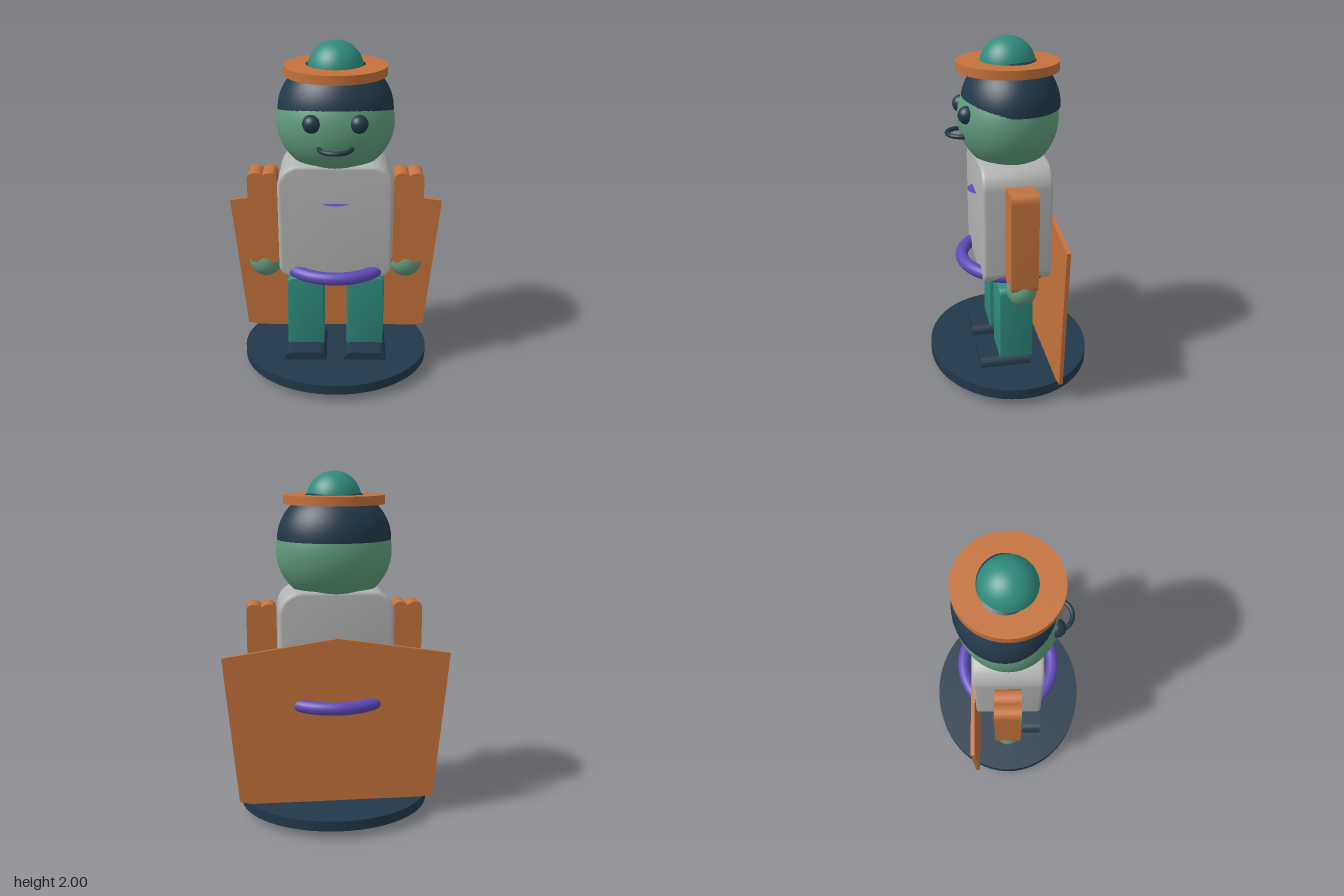
import * as THREE from 'three';
import { toCreasedNormals } from 'three/addons/utils/BufferGeometryUtils.js';

const material = (name, color, side = THREE.FrontSide) => {
  const m = new THREE.MeshStandardMaterial({ color, side });
  m.name = name;
  return m;
};

// Rounded rectangle centred on x, with separate bottom and top corner radii
function roundedRect(x, w, y0, y1, rBottom, rTop) {
  const a = x - w / 2, b = x + w / 2;
  const s = new THREE.Shape();
  s.moveTo(a + rBottom, y0);
  s.lineTo(b - rBottom, y0);
  s.absarc(b - rBottom, y0 + rBottom, rBottom, -Math.PI / 2, 0);
  s.lineTo(b, y1 - rTop);
  s.absarc(b - rTop, y1 - rTop, rTop, 0, Math.PI / 2);
  s.lineTo(a + rTop, y1);
  s.absarc(a + rTop, y1 - rTop, rTop, Math.PI / 2, Math.PI);
  s.lineTo(a, y0 + rBottom);
  s.absarc(a + rBottom, y0 + rBottom, rBottom, Math.PI, Math.PI * 1.5);
  return s;
}

// Sleeve outline whose top is two soft lobes with a notch between them
function sleeveShape(x) {
  const h = 0.085, y0 = 0.7, y1 = 1.265, notch = 1.245;
  const s = new THREE.Shape();
  s.moveTo(x - h + 0.03, y0);
  s.lineTo(x + h - 0.03, y0);
  s.quadraticCurveTo(x + h, y0, x + h, y0 + 0.03);
  s.lineTo(x + h, y1 - 0.05);
  s.quadraticCurveTo(x + h, y1, x + 0.045, y1);
  s.quadraticCurveTo(x + 0.015, y1, x, notch);
  s.quadraticCurveTo(x - 0.015, y1, x - 0.045, y1);
  s.quadraticCurveTo(x - h, y1, x - h, y1 - 0.05);
  s.lineTo(x - h, y0 + 0.03);
  s.quadraticCurveTo(x - h, y0, x - h + 0.03, y0);
  return s;
}

// Extrude a front outline from z0 to z1, with an optional soft edge
function slab(shape, z0, z1, bevel = 0) {
  const g = new THREE.ExtrudeGeometry(shape, {
    depth: z1 - z0 - 2 * bevel, curveSegments: 12, bevelEnabled: bevel > 0,
    bevelSize: bevel, bevelThickness: bevel, bevelOffset: -bevel, bevelSegments: 3,
  });
  g.translate(0, 0, z0 + bevel);
  return toCreasedNormals(g, 0.6);
}

export function createModel() {
  const model = new THREE.Group();
  model.name = 'figurine';
  const skin = material('green skin', 0x5f9b7b);
  const navy = material('navy', 0x22384a);
  const orange = material('orange', 0xc4723c);
  const teal = material('teal', 0x2e8b7d);
  const grey = material('light grey', 0xb1b4b2);
  const purple = material('purple', 0x5f4ab6);
  const purpleSheet = purple.clone();
  purpleSheet.side = THREE.DoubleSide;

  const add = (name, geometry, mat, x = 0, y = 0, z = 0) => {
    const mesh = new THREE.Mesh(geometry, mat);
    mesh.name = name;
    mesh.position.set(x, y, z);
    model.add(mesh);
    return mesh;
  };
  const ball = (rx, ry, rz) => new THREE.SphereGeometry(1, 48, 32).scale(rx, ry, rz);

  // Oval stand and back panel
  add('stand', new THREE.CylinderGeometry(1, 1, 0.06, 72).scale(0.563, 1, 0.48), navy, 0, 0.08);
  const cape = new THREE.Shape([
    [0, 0], [0.57, 0.125], [0.648, 0.99], [0, 1.088], [-0.648, 0.99], [-0.57, 0.125],
  ].map(([x, y]) => new THREE.Vector2(x, y)));
  add('cape', slab(cape, -0.212, -0.19), orange);

  // Torso, belt and the flat chest badge
  add('torso', slab(roundedRect(0, 0.65, 0.665, 1.35, 0.07, 0.13), -0.195, 0.195, 0.02), grey);
  add('belt', new THREE.TorusGeometry(0.275, 0.037, 20, 72).rotateX(Math.PI / 2).scale(1.09, 1, 1),
    purple, 0, 0.698);
  add('chestBadge', new THREE.CircleGeometry(0.1, 40).rotateX(-Math.PI / 2), purpleSheet, 0, 1.13, 0.135);

  // Mirrored limbs and eyes
  for (const side of [1, -1]) {
    const label = side > 0 ? 'left' : 'right';
    add(label + 'Leg', slab(roundedRect(side * 0.18, 0.222, 0.138, 0.61, 0.03, 0.04), -0.095, 0.1, 0.006), teal);
    add(label + 'Shoe', slab(roundedRect(side * 0.181, 0.255, 0.06, 0.16, 0.049, 0.049), -0.085, 0.215), navy);
    add(label + 'Arm', slab(sleeveShape(side * 0.42), -0.077, 0.073), orange);
    add(label + 'Hand', ball(0.097, 0.095, 0.083), skin, side * 0.42, 0.68);
    add(label + 'Eye', ball(0.05, 0.05, 0.05), navy, side * 0.125, 1.605, 0.245);
  }

  // Head, hair cap and mouth
  add('head', ball(0.33, 0.3, 0.282), skin, 0, 1.555);
  const cap = new THREE.SphereGeometry(1, 64, 24, 0, Math.PI * 2, 0, Math.PI / 2).scale(0.323, 0.285, 0.277);
  add('hair', cap, navy, 0, 1.625, -0.015);
  add('hairUnderside', new THREE.CircleGeometry(1, 64).rotateX(Math.PI / 2).scale(0.323, 1, 0.277),
    navy, 0, 1.625, -0.015);
  add('mouth', new THREE.TorusGeometry(0.087, 0.013, 12, 32, Math.PI).rotateX(Math.PI / 2),
    navy, 0, 1.472, 0.255);

  // Hat
  add('hatBrim', new THREE.CylinderGeometry(0.285, 0.285, 0.05, 64), orange, 0, 1.845);
  add('hatCrown', ball(0.155, 0.155, 0.155), teal, 0, 1.845);

  return model;
}
